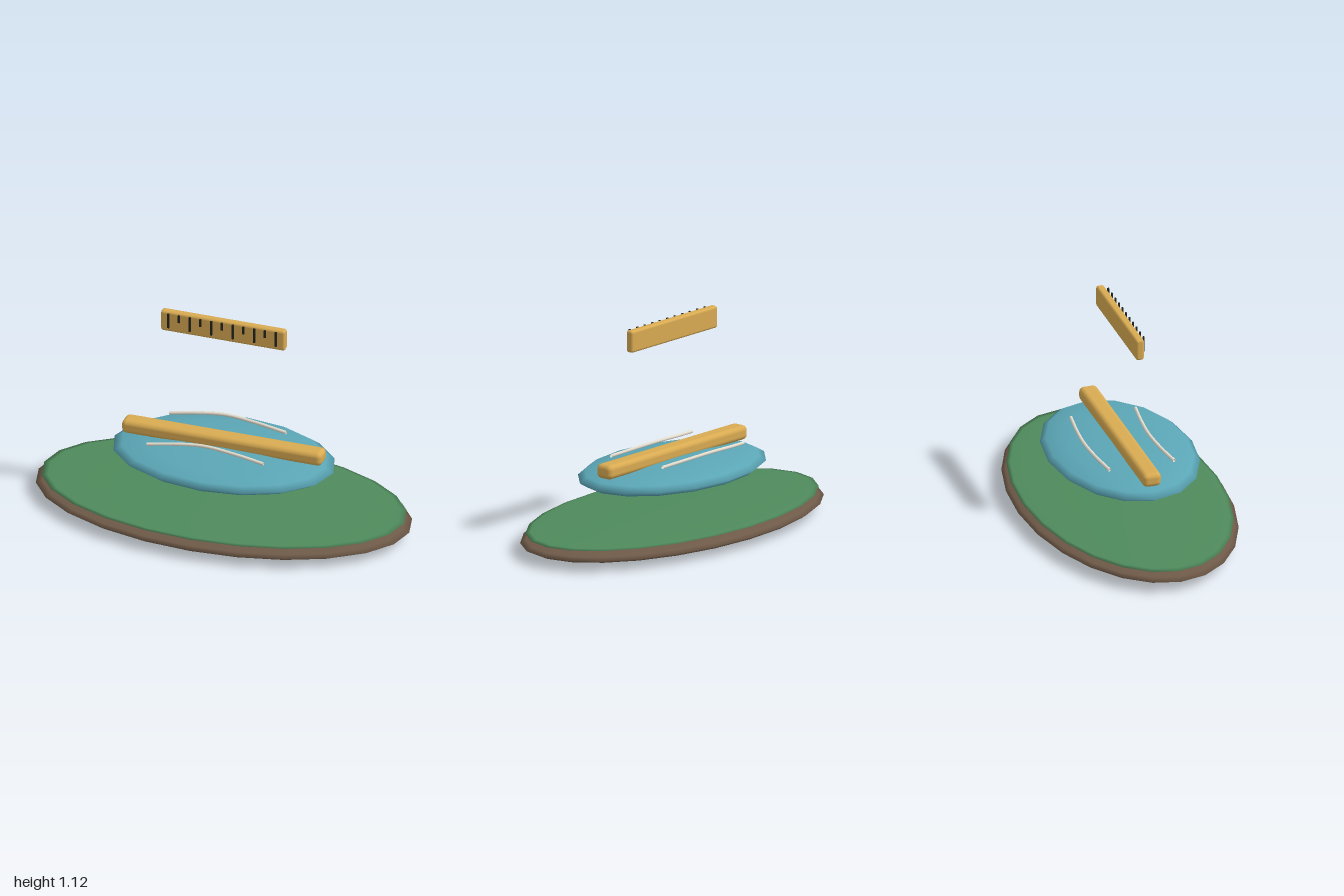
import * as THREE from 'three';
import { RoundedBoxGeometry } from 'three/addons/geometries/RoundedBoxGeometry.js';

const paint = (color, side = THREE.FrontSide) => new THREE.MeshStandardMaterial({ color, side });

export function createModel() {
  const model = new THREE.Group();
  const wood = paint(0xd9ab52);
  const add = (name, geometry, material, x = 0, y = 0, z = 0, parent = model) => {
    const mesh = new THREE.Mesh(geometry, material);
    mesh.name = name;
    mesh.position.set(x, y, z);
    parent.add(mesh);
    return mesh;
  };

  // Flattened ellipsoids: earth base, grass cover and water pool
  const disc = (name, color, y, rx, ry, rz, around, down) =>
    add(name, new THREE.SphereGeometry(1, around, down).scale(rx, ry, rz), paint(color), 0, y);
  disc('earthBase', 0x6f5a48, 0.058, 1, 0.058, 0.545, 24, 12);
  disc('grassCover', 0x4f8a5c, 0.105, 0.97, 0.016, 0.52, 24, 12);
  disc('waterPool', 0x5ba6b6, 0.328, 0.59, 0.068, 0.385, 16, 8);

  // Beam lying across the pool
  add('beam', new RoundedBoxGeometry(1.08, 0.075, 0.098, 3, 0.026), wood, 0, 0.412);

  // Ripple strands on both sides of the beam
  const strandPaint = paint(0xe6dfd0, THREE.DoubleSide);
  [['frontRipple', 0], ['backRipple', -0.346]].forEach(([name, z]) => {
    const path = new THREE.CatmullRomCurve3([
      new THREE.Vector3(-0.355, 0.414, 0.175),
      new THREE.Vector3(-0.22, 0.425, 0.148),
      new THREE.Vector3(-0.07, 0.434, 0.133),
      new THREE.Vector3(0.1, 0.427, 0.147),
      new THREE.Vector3(0.275, 0.414, 0.173),
    ]);
    add(name, new THREE.TubeGeometry(path, 20, 0.009, 8), strandPaint, 0, 0, z);
  });

  // Floating measuring bar with alternating long and short marks
  const ruler = new THREE.Group();
  ruler.name = 'measuringBar';
  ruler.position.y = 1.058;
  model.add(ruler);
  add('bar', new RoundedBoxGeometry(0.67, 0.115, 0.043, 3, 0.013), wood, 0, 0, 0, ruler);
  const dark = paint(0x24241f);
  for (let i = 0; i < 11; i++) {
    const height = i % 2 ? 0.042 : 0.082;
    add('mark', new THREE.BoxGeometry(0.01, height, 0.008), dark,
      (i - 5) * 0.058, 0.053 - height / 2, 0.032, ruler);
  }
  return model;
}
